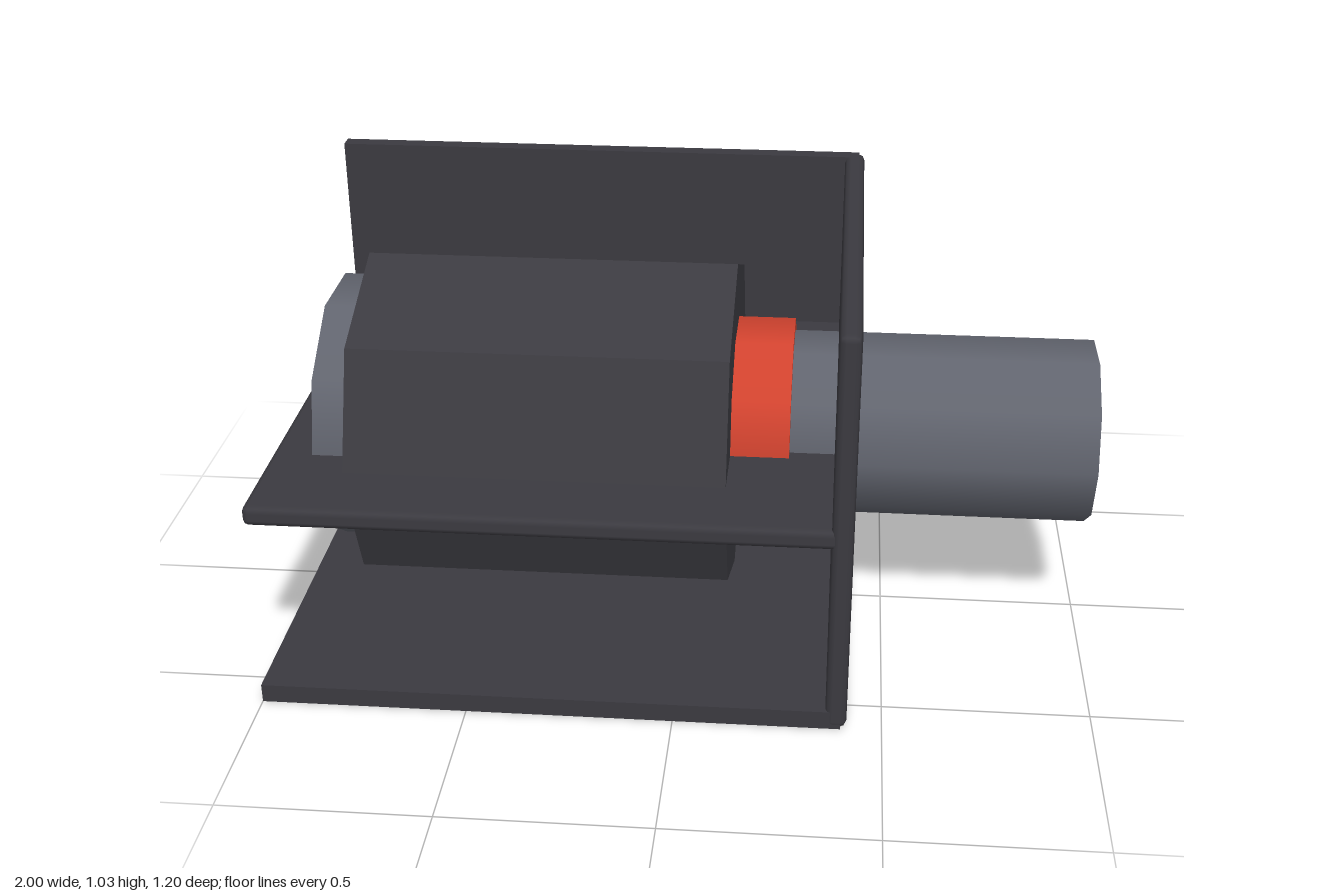
import * as THREE from 'three';
import { RoundedBoxGeometry } from 'three/addons/geometries/RoundedBoxGeometry.js';

const AXIS_Y = 0.515;

function material(name, color) {
  const m = new THREE.MeshStandardMaterial({ color });
  m.name = name;
  return m;
}

export function createModel() {
  const group = new THREE.Group();
  const casing = material('dark casing', 0x3b3a40);
  const steel = material('grey steel', 0x62656f);
  const red = material('red', 0xd2432f);

  const add = (name, geometry, mat) => {
    const mesh = new THREE.Mesh(geometry, mat);
    mesh.name = name;
    group.add(mesh);
  };

  // Plate given by its limits; a bevel chamfers all its edges
  const plate = (name, [x0, x1], [y0, y1], [z0, z1], bevel = 0) => {
    const size = [x1 - x0, y1 - y0, z1 - z0];
    const g = bevel ? new RoundedBoxGeometry(...size, 1, bevel) : new THREE.BoxGeometry(...size);
    g.translate((x0 + x1) / 2, (y0 + y1) / 2, (z0 + z1) / 2);
    add(name, g, casing);
  };

  // Prism or cylinder lying along the x axis
  const barrel = (name, x0, x1, radius, sides, mat, flat = false) => {
    let g = new THREE.CylinderGeometry(radius, radius, x1 - x0, sides);
    g.rotateZ(-Math.PI / 2);
    g.translate((x0 + x1) / 2, AXIS_Y, 0);
    if (flat) {
      g = g.toNonIndexed();
      g.computeVertexNormals();
    }
    add(name, g, mat);
  };

  // Open housing
  plate('floorPlate', [-1, 0.402], [0, 0.047], [-0.6, 0.6]);
  plate('backWall', [-1, 0.402], [0.001, 1.025], [-0.602, -0.56]);
  plate('sideWall', [0.365, 0.416], [0.002, 1.026], [-0.6, 0.602], 0.016);
  plate('middleShelf', [-1, 0.385], [0.49, 0.54], [-0.6, 0.6], 0.016);

  // Rotor and shaft
  barrel('endFlange', -0.9, -0.8, 0.338, 10, steel);
  barrel('drum', -0.805, 0.112, 0.423, 8, casing, true);
  barrel('redCollar', 0.108, 0.255, 0.261, 10, red);
  barrel('shaft', 0.1, 1, 0.231, 10, steel);

  return group;
}
